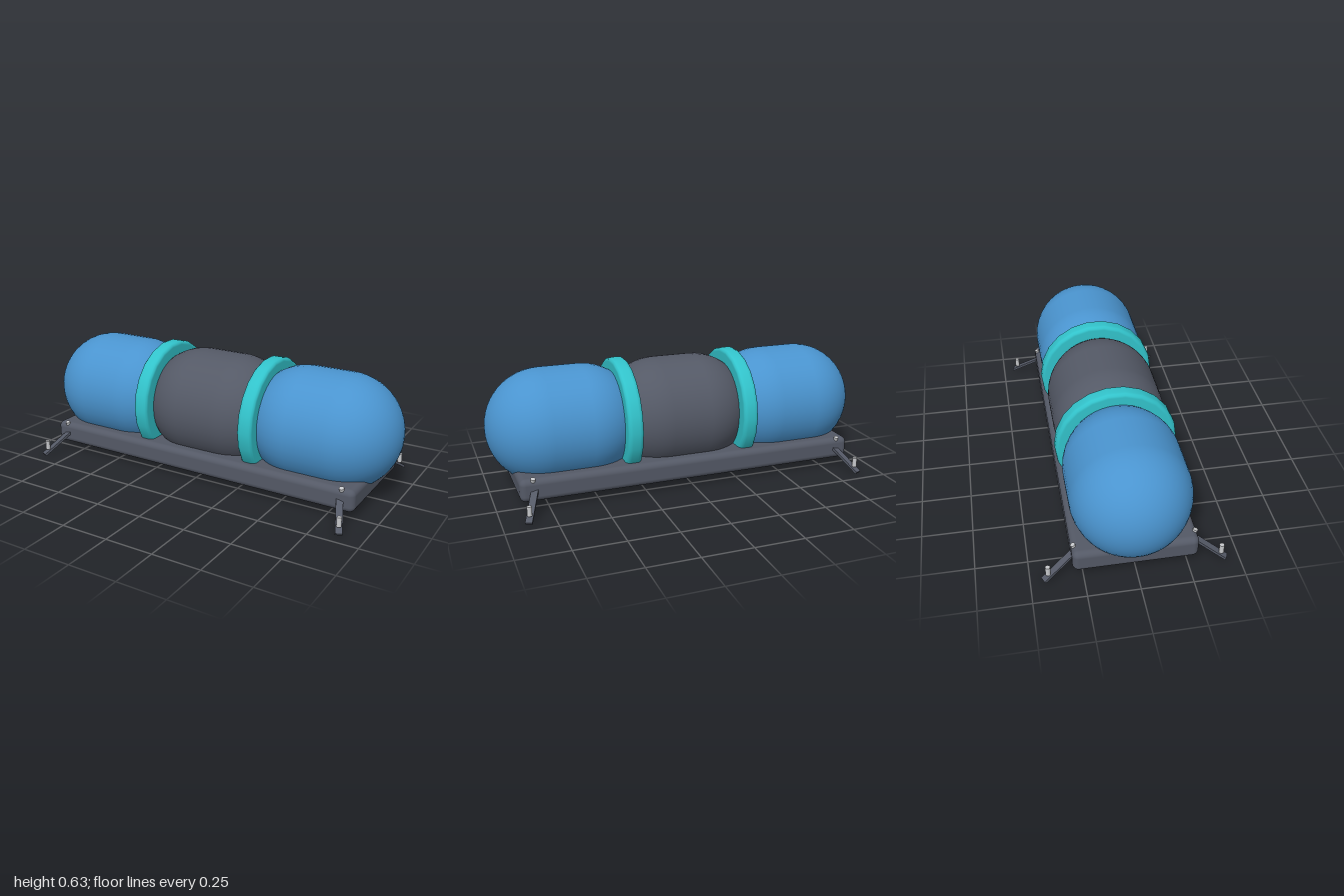
import * as THREE from 'three';
import { RoundedBoxGeometry } from 'three/addons/geometries/RoundedBoxGeometry.js';

const material = (name, color) => {
  const m = new THREE.MeshStandardMaterial({ color });
  m.name = name;
  return m;
};

export function createModel() {
  const blue = material('tank blue', 0x4a94cf);
  const grey = material('dark grey', 0x545966);
  const teal = material('ring teal', 0x32c3cb);
  const silver = material('pin silver', 0xc8cacd);

  const model = new THREE.Group();
  model.name = 'tripleTank';
  const add = (name, geometry, mat, x = 0, y = 0, z = 0) => {
    const mesh = new THREE.Mesh(geometry, mat);
    mesh.name = name;
    mesh.position.set(x, y, z);
    model.add(mesh);
    return mesh;
  };

  const axisY = 0.33;

  // Rounded base slab
  add('base', new RoundedBoxGeometry(1.78, 0.115, 0.6, 4, 0.03), grey, 0, 0.1025, 0);

  // Three overlapping capsule tanks lying along x
  const tank = new THREE.CapsuleGeometry(0.292, 0.2, 14, 40).rotateZ(Math.PI / 2);
  add('middleTank', tank, grey, 0, axisY, 0);
  for (const s of [-1, 1]) {
    add(s > 0 ? 'leftTank' : 'rightTank', tank, blue, s * 0.608, axisY, 0);
  }

  // Rounded 22-sided bands over the joints
  const profile = [
    [0.21, -0.04], [0.288, -0.04], [0.298, -0.037], [0.305, -0.029], [0.308, -0.018],
    [0.308, 0.018], [0.305, 0.029], [0.298, 0.037], [0.288, 0.04], [0.21, 0.04],
  ].map(([r, h]) => new THREE.Vector2(r, h));
  const band = new THREE.LatheGeometry(profile, 22).rotateZ(Math.PI / 2);
  for (const s of [-1, 1]) {
    add(s > 0 ? 'leftBand' : 'rightBand', band, teal, s * 0.309, axisY, 0);
  }

  // Splayed flat legs with an upright foot pin and a hinge pin at each corner
  const footPin = new THREE.CylinderGeometry(0.012, 0.012, 0.048, 12);
  const hingePin = new THREE.CylinderGeometry(0.012, 0.012, 0.05, 12);
  for (const sx of [-1, 1]) {
    for (const sz of [-1, 1]) {
      const top = new THREE.Vector3(sx * 0.805, 0.124, sz * 0.26);
      const foot = new THREE.Vector3(sx * 0.88, 0.008, sz * 0.438);
      const leg = add('leg', new THREE.BoxGeometry(0.034, 0.013, top.distanceTo(foot)), grey);
      leg.position.copy(top).lerp(foot, 0.5);
      leg.lookAt(foot);
      add('footPin', footPin, silver, sx * 0.87, 0.06, sz * 0.415);
      const hinge = add('hingePin', hingePin, silver, sx * 0.825, 0.141, sz * 0.283);
      hinge.rotation.x = sz * 0.35;
    }
  }

  return model;
}
